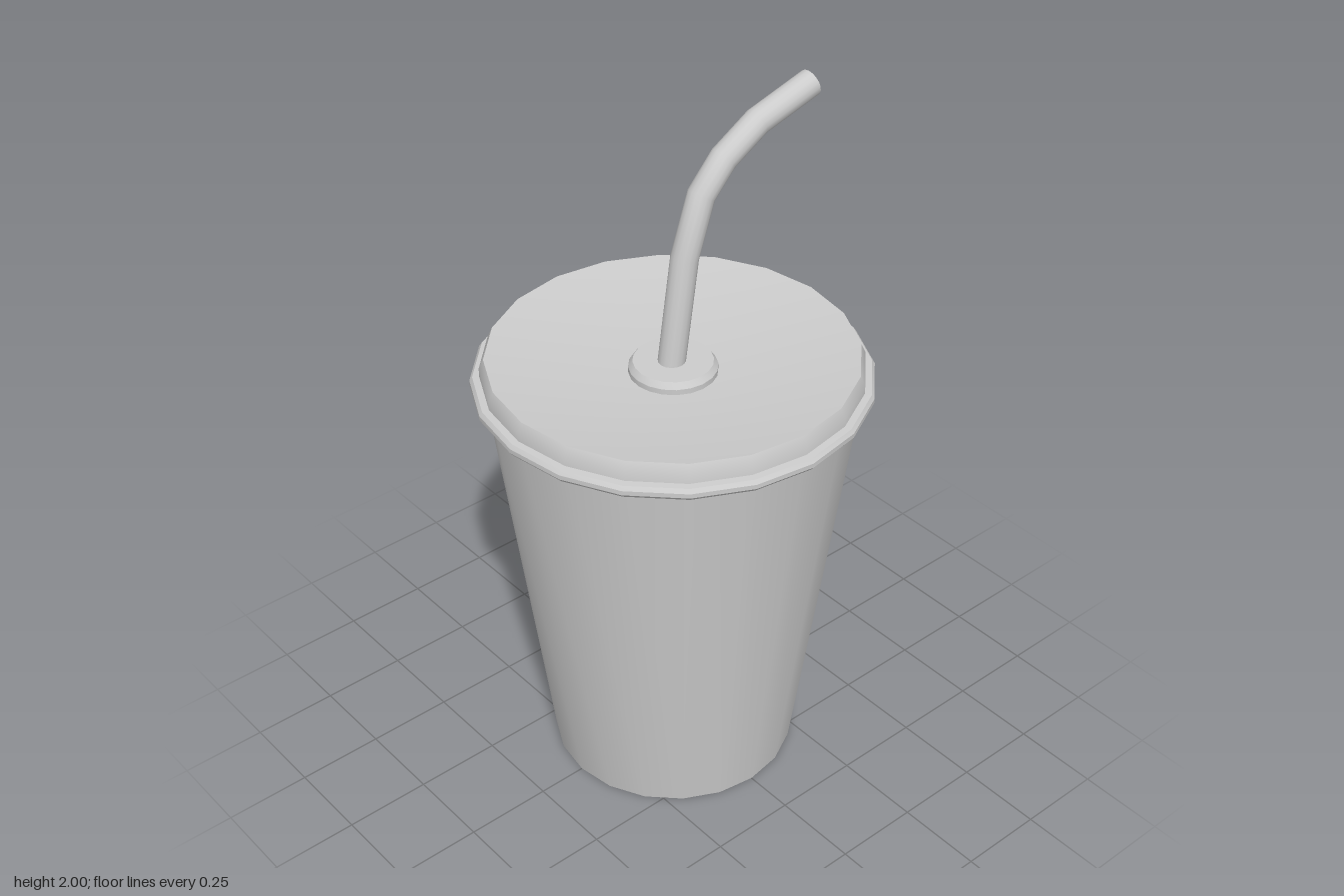
import * as THREE from 'three';
import { toCreasedNormals } from 'three/addons/utils/BufferGeometryUtils.js';

const material = new THREE.MeshStandardMaterial({ color: 0xcccccc });

function addPart(group, name, geometry) {
  const mesh = new THREE.Mesh(geometry, material);
  mesh.name = name;
  group.add(mesh);
  return mesh;
}

// Turned part: profile of [radius, height] pairs, outside of the part on the right
function turned(profile, sides = 20) {
  const points = profile.map(([r, y]) => new THREE.Vector2(r, y));
  return toCreasedNormals(new THREE.LatheGeometry(points, sides), 0.6);
}

export function createModel() {
  const model = new THREE.Group();

  // Tapered cup with a flat base
  addPart(model, 'cup', turned([[0, 0], [0.355, 0], [0.513, 1.24]]));

  // Lid: short wall, bevelled edge and a top that dips towards the centre
  addPart(model, 'lid', turned([
    [0.505, 1.24], [0.521, 1.24], [0.521, 1.295], [0.508, 1.323], [0, 1.247],
  ]));

  // Bead around the lower edge of the lid
  addPart(model, 'lidBead', turned([
    [0.51, 1.232], [0.54, 1.235], [0.548, 1.245], [0.548, 1.258], [0.54, 1.269], [0.515, 1.271],
  ]));

  // Raised collar around the straw hole
  addPart(model, 'strawCollar', turned([
    [0.122, 1.255], [0.122, 1.281], [0.11, 1.298], [0, 1.298],
  ]));

  // Bent straw, with one ring of vertices at each point of its path
  const path = [[-0.012, 1.25], [0.039, 1.6], [0.095, 1.765], [0.17, 1.845], [0.285, 1.912], [0.472, 1.964]]
    .map(([x, y]) => new THREE.Vector3(x, y, 0));
  const curve = new THREE.CatmullRomCurve3(path);
  curve.getPointAt = curve.getPoint;
  curve.getTangentAt = curve.getTangent;
  addPart(model, 'straw', new THREE.TubeGeometry(curve, path.length - 1, 0.038, 16));

  // Closed tip of the straw
  const tip = addPart(model, 'strawTip', new THREE.CircleGeometry(0.038, 16));
  tip.position.copy(path[path.length - 1]);
  tip.quaternion.setFromUnitVectors(new THREE.Vector3(0, 0, 1), curve.getTangent(1));

  return model;
}
